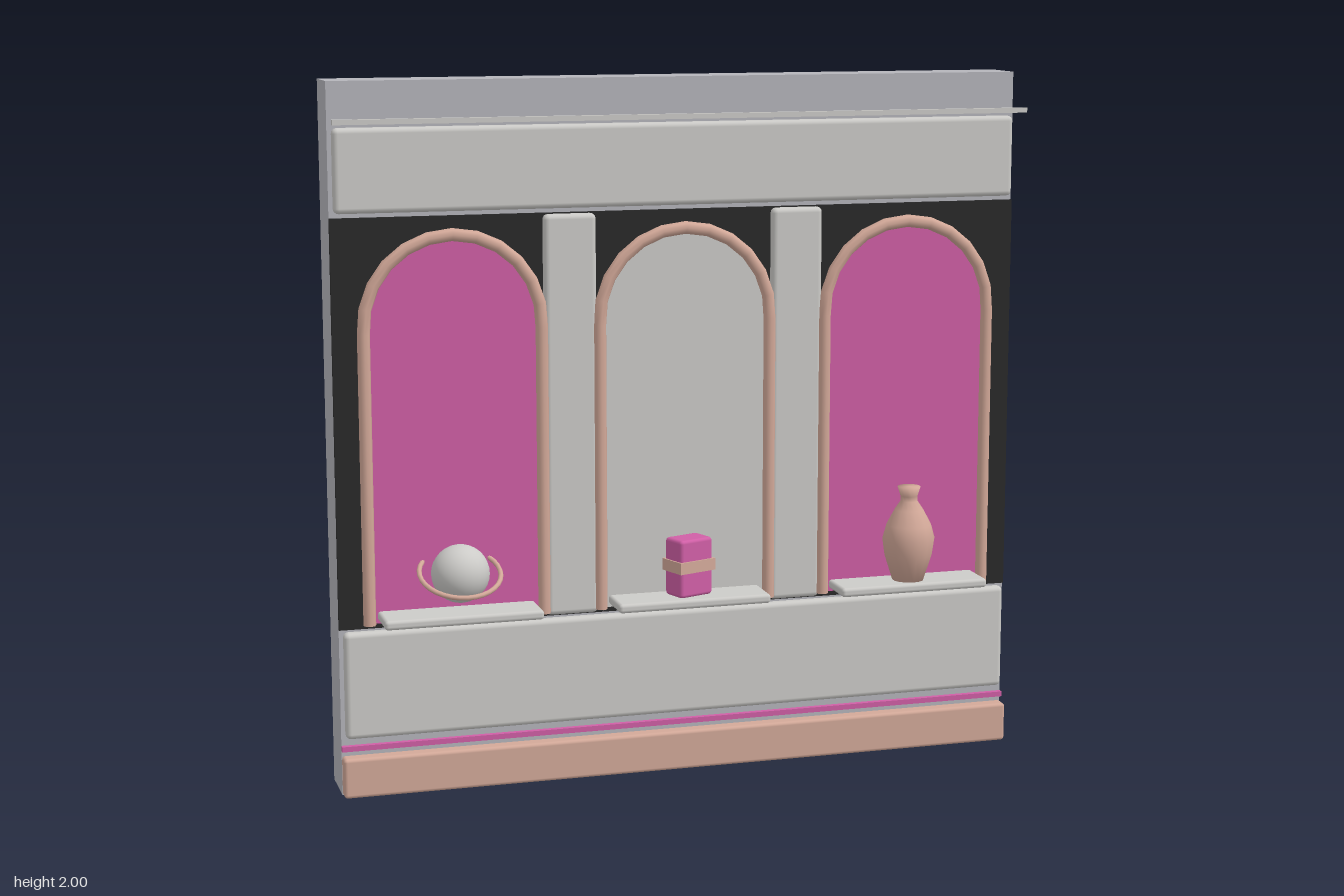
import * as THREE from 'three';
import { RoundedBoxGeometry } from 'three/addons/geometries/RoundedBoxGeometry.js';

const mat = (name, color, side = THREE.FrontSide) => {
  const m = new THREE.MeshStandardMaterial({ color, side });
  m.name = name;
  return m;
};

// Arch dimensions shared by frames and niche backs
const ARCH = { bottom: 0.495, spring: 1.33, radius: 0.25 };

// Upright, half circle, upright
class ArchCurve extends THREE.Curve {
  getPoint(t, target = new THREE.Vector3()) {
    const { bottom, spring, radius } = ARCH;
    const leg = spring - bottom, arc = Math.PI * radius;
    const s = t * (2 * leg + arc);
    if (s < leg) return target.set(-radius, bottom + s, 0);
    if (s > leg + arc) return target.set(radius, spring - (s - leg - arc), 0);
    const a = Math.PI - (s - leg) / radius;
    return target.set(radius * Math.cos(a), spring + radius * Math.sin(a), 0);
  }
}

export function createModel() {
  const group = new THREE.Group();
  group.name = 'displayWall';

  const wall = mat('wallGrey', 0xb5b5bb);
  const stone = mat('paleStone', 0xcccbc8);
  const copper = mat('copper', 0xd3a999, THREE.DoubleSide);
  const pink = mat('pink', 0xd05fa6);
  const black = mat('black', 0x2a2a2a);

  const add = (name, geometry, material, x = 0, y = 0, z = 0, parent = group) => {
    const mesh = new THREE.Mesh(geometry, material);
    mesh.name = name;
    mesh.position.set(x, y, z);
    parent.add(mesh);
    return mesh;
  };
  // Boxes given by their lower and upper y and back and front z
  const box = (name, m, x, w, y0, y1, z0, z1, r = 0) => add(name,
    r ? new RoundedBoxGeometry(w, y1 - y0, z1 - z0, 2, r) : new THREE.BoxGeometry(w, y1 - y0, z1 - z0),
    m, x, (y0 + y1) / 2, (z0 + z1) / 2);

  // Wall, panels and trims
  box('wallSlab', wall, 0, 2, 0, 2, -0.165, -0.015);
  box('backBoard', black, 0, 2, 0.48, 1.63, -0.016, -0.006);
  box('upperPanel', stone, 0, 1.98, 1.643, 1.875, -0.018, 0.02, 0.015);
  box('lowerPanel', stone, 0, 1.98, 0.168, 0.475, -0.018, 0.02, 0.015);
  box('plinth', copper, 0, 2, 0, 0.115, -0.018, 0.03, 0.01);
  box('pinkStripe', pink, 0, 2, 0.129, 0.144, -0.016, 0.001);
  box('hangingRail', stone, 0, 2, 1.888, 1.902, 0.073, 0.09);
  for (const side of [-1, 1]) {
    box('pilaster', stone, side * 0.333, 0.15, 0.485, 1.627, -0.018, 0.02, 0.015);
  }

  // Arched niches with frames and shelves
  const frameGeo = new THREE.TubeGeometry(new ArchCurve(), 36, 0.018, 8);
  const outline = new THREE.Shape();
  outline.moveTo(-ARCH.radius, ARCH.bottom);
  outline.lineTo(ARCH.radius, ARCH.bottom);
  outline.lineTo(ARCH.radius, ARCH.spring);
  outline.absarc(0, ARCH.spring, ARCH.radius, 0, Math.PI);
  const backGeo = new THREE.ExtrudeGeometry(outline, { depth: 0.009, bevelEnabled: false, curveSegments: 12 });
  const capGeo = new THREE.CircleGeometry(0.018, 8).rotateX(Math.PI / 2);
  const spacing = 0.667;
  for (const i of [-1, 0, 1]) {
    const x = i * spacing;
    add('nicheBack', backGeo, i ? pink : stone, x, 0, -0.007);
    add('archFrame', frameGeo, copper, x, 0, 0.017);
    for (const s of [-1, 1]) add('archFoot', capGeo, copper, x + s * ARCH.radius, ARCH.bottom, 0.017);
    box('shelf', stone, x, 0.45, 0.503, 0.53, -0.005, 0.125, 0.01);
  }

  // Ringed globe
  add('globe', new THREE.SphereGeometry(0.082, 24, 16), stone, -spacing, 0.637, 0.06);
  const ring = add('globeRing', new THREE.TorusGeometry(0.114, 0.007, 8, 32), copper, -spacing, 0.637, 0.056);
  ring.rotation.x = Math.PI / 2 + 0.42;

  // Gift box with a band
  const gift = new THREE.Group();
  gift.name = 'giftBox';
  gift.position.set(0, 0.613, 0.05);
  gift.rotation.y = 0.35;
  group.add(gift);
  add('giftBody', new RoundedBoxGeometry(0.112, 0.168, 0.08, 2, 0.01), pink, 0, 0, 0, gift);
  add('giftBand', new THREE.BoxGeometry(0.122, 0.034, 0.09), copper, 0, 0.005, 0, gift);

  // Vase
  const profile = [[0, 0], [0.046, 0], [0.07, 0.075], [0.077, 0.125], [0.066, 0.165],
    [0.042, 0.21], [0.025, 0.235], [0.025, 0.25], [0.034, 0.278], [0, 0.278]];
  add('vase', new THREE.LatheGeometry(profile.map(([r, y]) => new THREE.Vector2(r, y)), 14),
    copper, spacing, 0.53, 0.062);

  return group;
}
